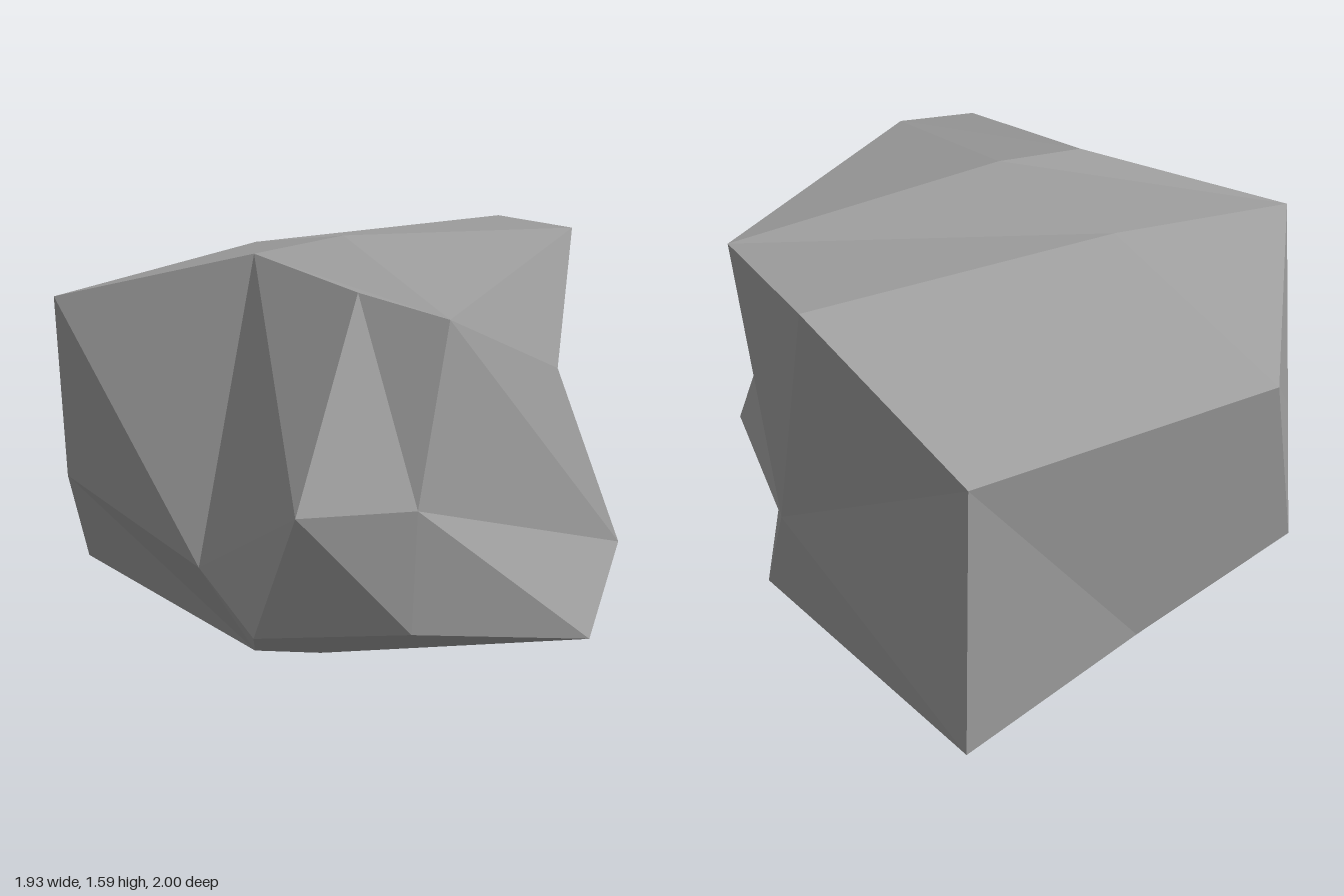
import * as THREE from 'three';

// Corners of the boulder
const P = {
  // crown
  a: [-0.97, 1.35, -0.27], b: [-0.36, 1.51, 0.13], c: [-0.02, 1.56, 0.07],
  d: [0.96, 1.56, -0.09], e: [0.90, 1.585, -0.60], y: [-0.18, 1.51, -0.45],
  // front bulge
  f: [-0.21, 1.43, 0.72], g: [0.01, 1.36, 0.91], h: [0.585, 1.13, 0.52],
  i: [-0.505, 0.82, 1.0], j: [-0.125, 0.81, 1.0], k: [0.865, 0.49, 0.49],
  l: [-0.565, 0.39, 0.765], m: [-0.12, 0.41, 0.95], n: [0.53, 0.30, 0.89],
  // sides and back
  p: [-0.59, 0.46, 0.20], q: [-0.91, 0.655, -0.50], r: [-0.80, 0.27, -0.74],
  z: [0.92, 0.555, -0.21], w: [0.57, 1.135, -1.0], x: [-0.57, 1.07, -0.87],
  // foot
  o: [0.92, 0.005, 0.10], s: [-0.31, 0.03, -0.09], t: [-0.17, 0.12, 0.25],
  u: [-0.16, 0.065, -0.78], v: [0.58, 0, -0.97],
};

// Facets as corner loops, each fanned from its first corner
const FACETS = [
  'abcy', 'ycde', 'ywx', 'yew', 'ayxq',     // crown
  'bcgf', 'gcd', 'gdh', 'ibf', 'ilpb',      // shoulder of the bulge
  'fgji', 'ghkj', 'jknm', 'ijml',           // front
  'abpq', 'srqpl',                          // -x side
  'zdhk', 'zkno', 'zdewvo',                 // +x side
  'wxuv', 'xqru',                           // back
  'tlmno', 'tsl', 'stu', 'sur', 'utov',     // underside
];

function facetGeometry() {
  const centre = new THREE.Vector3(0, 0.75, 0);
  const positions = [];
  for (const loop of FACETS) {
    const pts = [...loop].map((key) => new THREE.Vector3(...P[key]));
    for (let n = 1; n < pts.length - 1; n++) {
      const tri = [pts[0], pts[n], pts[n + 1]];
      // turn every triangle outward
      const normal = new THREE.Triangle(...tri).getNormal(new THREE.Vector3());
      if (normal.dot(tri[0].clone().sub(centre)) < 0) tri.reverse();
      for (const v of tri) positions.push(v.x, v.y, v.z);
    }
  }
  const geometry = new THREE.BufferGeometry();
  geometry.setAttribute('position', new THREE.Float32BufferAttribute(positions, 3));
  geometry.computeVertexNormals();
  return geometry;
}

export function createModel() {
  const stone = new THREE.MeshStandardMaterial({ color: 0x9c9c9c });
  stone.name = 'grey stone';

  const boulder = new THREE.Mesh(facetGeometry(), stone);
  boulder.name = 'boulder';

  const group = new THREE.Group();
  group.name = 'rock';
  group.add(boulder);
  return group;
}
